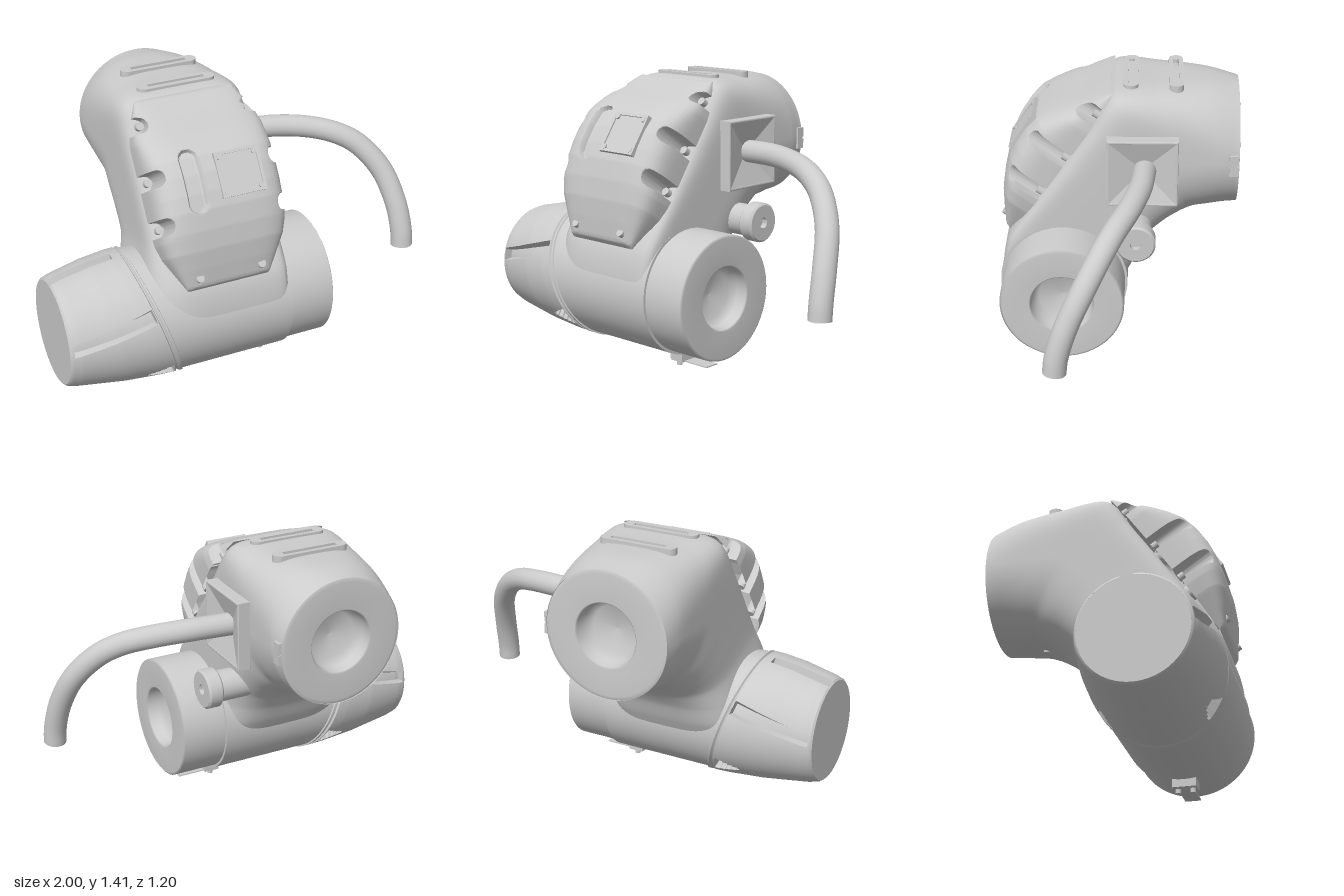
import * as THREE from 'three';
import { toCreasedNormals } from 'three/addons/utils/BufferGeometryUtils.js';
import { ParametricGeometry } from 'three/addons/geometries/ParametricGeometry.js';

const grey = new THREE.MeshStandardMaterial({ color: 0xcccccc, side: THREE.DoubleSide });
const AXIS_Y = 0.385, AXIS_Z = 0.27, MID_X = -0.2;
const { lerp, clamp, smoothstep } = THREE.MathUtils;

function add(parent, name, geometry, x = 0, y = 0, z = 0) {
  const mesh = new THREE.Mesh(geometry, grey);
  mesh.name = name;
  mesh.position.set(x, y, z);
  parent.add(mesh);
  return mesh;
}

// Piecewise linear lookup in a list of [position, value]
function lookup(table, t) {
  let i = 1;
  while (i < table.length - 1 && t > table[i][0]) i++;
  const [a, b] = [table[i - 1], table[i]];
  return lerp(a[1], b[1], clamp((t - a[0]) / (b[0] - a[0]), 0, 1));
}

// Radius of a unit superellipse in the direction (c, s)
const superRadius = (c, s, n) => Math.pow(Math.abs(c) ** n + Math.abs(s) ** n, -1 / n);

const lathe = (points, segments = 72) =>
  new THREE.LatheGeometry(points.map(p => new THREE.Vector2(...p)), segments);

// Stadium outline along y
function stadium(halfLength, r, Type = THREE.Shape) {
  const s = new Type(), k = halfLength - r;
  s.absarc(0, k, r, 0, Math.PI);
  s.absarc(0, -k, r, Math.PI, Math.PI * 2);
  s.closePath();
  return s;
}

// Elbow rows: outer z, y, squareness, then inner z, y, squareness, then left-hand flare
const ELBOW = [
  [0.57, 0.30, 4, -0.02, 0.30, 4, 0.39],
  [0.585, 0.456, 4, -0.085, 0.42, 4, 0.39],
  [0.55, 0.62, 4.5, -0.13, 0.52, 3.5, 0.37],
  [0.41, 0.823, 7, -0.19, 0.60, 3, 0.335],
  [0.27, 1.027, 8, -0.27, 0.665, 2.8, 0.33],
  [0.14, 1.215, 8, -0.34, 0.70, 2.6, 0.33],
  [0.02, 1.39, 6, -0.40, 0.715, 2.4, 0.33],
  [-0.20, 1.40, 4, -0.47, 0.72, 2.2, 0.33],
  [-0.45, 1.395, 2.6, -0.54, 0.725, 2, 0.33],
  [-0.60, 1.37, 2, -0.60, 0.73, 2, 0.32]];

function elbowGeometry() {
  const curve = k => new THREE.CatmullRomCurve3(
    ELBOW.map(r => new THREE.Vector3(r[k], r[k + 1] ?? 0, r[k + 2] ?? 0)), false, 'catmullrom', 0.4);
  const outer = curve(0), inner = curve(3), flare = curve(6);
  return new ParametricGeometry((u, v, target) => {
    const a = -u * Math.PI * 2, c = Math.cos(a), s = Math.sin(a);
    const o = outer.getPoint(v), i = inner.getPoint(v);
    // The side next to the socket stays square so that it meets the barrel end
    const front = c > 0 ? lerp(14, o.z, smoothstep(v, 0.2, 0.5)) : o.z;
    const r = superRadius(c, s, s > 0 ? front : i.z);
    const half = c < 0 ? flare.getPoint(v).x : lerp(0.33, 0.32, smoothstep(v, 0.9, 1));
    const k = (1 + s * r) / 2;
    target.set(MID_X + c * r * half, lerp(i.y, o.y, k), lerp(i.x, o.x, k));
  }, 120, 80);
}

// Slanted joint between the barrel and the tapered end cap
const seamX = y => -0.5 - 0.33 * (y - AXIS_Y);

// Grooves in the end cap: angle, start and end along, half widths at start and end
const GROOVES = [[-0.12, -1, 0.82, 0.1, 0.1]];
for (const m of [1, -1]) GROOVES.push([m * 1.4, 0.04, 0.92, 0.11, 0.1], [m * 2.43, 0.68, 0.92, 0.01, 0.14]);

function endCapGeometry() {
  const radius = [[0, 0.258], [0.02, 0.268], [0.1, 0.28], [0.5, 0.315], [0.8, 0.33], [0.93, 0.333],
    [0.94, 0.322], [0.955, 0.322], [0.965, 0.333], [0.99, 0.333], [1, 0.318]];
  const geometry = new ParametricGeometry((u, v, target) => {
    const a = (u * 2 - 1) * Math.PI;
    let r = lookup(radius, v);
    for (const [a0, s0, s1, w0, w1] of GROOVES) {
      const t = (v - s0) / (s1 - s0), d = Math.abs(a - a0);
      if (t > 0 && t < 1 && d < lerp(w0, w1, t)) r -= 0.04;
    }
    // The side grooves climb towards the seam
    const twisted = a - 0.34 * v * Math.sin(a);
    const y = AXIS_Y + r * Math.cos(twisted);
    target.set(lerp(-1, seamX(y), v), y, AXIS_Z + r * Math.sin(twisted));
  }, 240, 100);
  return toCreasedNormals(geometry, 0.5);
}

function barrelGeometry() {
  return new ParametricGeometry((u, v, target) => {
    const a = u * Math.PI * 2, y = AXIS_Y + 0.325 * Math.cos(a);
    target.set(lerp(seamX(y) - 0.01, 0.13, v), y, AXIS_Z + 0.325 * Math.sin(a));
  }, 72, 12);
}

// Bulging cover, local frame: y along the joint plane, z out of it
function coverGeometry() {
  const height = [[0, 0], [0.01, 0.04], [0.09, 0.1], [0.17, 0.155], [0.26, 0.2], [0.35, 0.232], [0.43, 0.245], [0.52, 0.247],
    [0.6, 0.235], [0.66, 0.205], [0.72, 0.165], [0.82, 0.09], [0.925, 0.02], [0.935, 0]];
  const width = [[0, 0.21], [0.17, 0.3], [0.24, 0.32], [0.3, 0.325], [0.72, 0.325], [0.8, 0.31], [0.935, 0.25]];
  const geometry = new ParametricGeometry((u, v, target) => {
    const a = u * Math.PI, c = -Math.cos(a), s = Math.sin(a), y = v * 0.935;
    const r = superRadius(c, s, 4.5);
    let x = lookup(width, y) * c * r, z = lookup(height, y) * s * r;
    // Rounded screw channels cut into both sides
    for (const [p, floor] of [[0.313, 0.262], [0.54, 0.262], [0.81, 0.24]]) {
      const q = Math.abs(y - p) / 0.038;
      if (q < 1) {
        const limit = floor + 0.03 * (1 - Math.sqrt(1 - q * q));
        x = clamp(x, -limit, limit);
      }
    }
    // Long rounded recess on the face
    const d = Math.hypot(x + 0.137, Math.max(0, Math.abs(y - 0.49) - 0.105));
    if (z > 0.1) z -= 0.03 * (1 - smoothstep(d, 0.036, 0.05));
    target.set(x, y, z);
  }, 170, 150);
  return toCreasedNormals(geometry, 0.6);
}

// Open mouth: flat lip, softly shaded into a recess, facing +y
const mouth = [[0.3, 0], [0.165, 0], [0.157, -0.008], [0.15, -0.06], [0.12, -0.1], [0, -0.115]];

export function createModel() {
  const model = new THREE.Group();
  model.name = 'jointHousing';

  // Main castings
  add(model, 'elbowBody', elbowGeometry());
  add(model, 'barrel', barrelGeometry());
  add(model, 'barrelEnd', new THREE.RingGeometry(0.29, 0.325, 72).rotateY(Math.PI / 2), 0.13, AXIS_Y, AXIS_Z);
  add(model, 'endCap', endCapGeometry());
  add(model, 'endCapDisc', new THREE.CircleGeometry(0.258, 72).rotateY(-Math.PI / 2), -1, AXIS_Y, AXIS_Z);
  add(model, 'sideSocket', lathe([[0.312, -0.235], [0.312, -0.008], ...mouth]).rotateZ(-Math.PI / 2),
    0.365, AXIS_Y, AXIS_Z);
  add(model, 'rearSocket', lathe([[0.32, -0.008], ...mouth]).rotateX(-Math.PI / 2), MID_X, 1.05, -0.602);

  // Front cover with its fittings
  const cover = new THREE.Group();
  cover.name = 'frontCover';
  cover.position.set(MID_X, 0.62, 0.55);
  cover.rotation.x = -0.603;
  model.add(cover);
  add(cover, 'coverShell', coverGeometry());
  const screw = new THREE.CylinderGeometry(0.02, 0.02, 0.03, 16).rotateX(Math.PI / 2);
  for (const m of [1, -1]) {
    for (const [x, y, z] of [[0.285, 0.313, 0.015], [0.285, 0.54, 0.015], [0.26, 0.81, 0.015], [0.16, 0.05, 0.06]])
      add(cover, 'coverScrew', screw, m * x, y, z);
  }
  const panel = new THREE.Group();
  panel.name = 'inspectionPanel';
  panel.position.set(0.09, 0.49, 0.238);
  cover.add(panel);
  add(panel, 'panelPlate', new THREE.BoxGeometry(0.2, 0.19, 0.022));
  for (const m of [1, -1]) {
    add(panel, 'panelRimSide', new THREE.BoxGeometry(0.014, 0.215, 0.036), m * 0.105);
    add(panel, 'panelRimEnd', new THREE.BoxGeometry(0.22, 0.014, 0.036), 0, m * 0.1);
    for (const n of [1, -1])
      add(panel, 'panelScrew', new THREE.CylinderGeometry(0.013, 0.013, 0.03, 16).rotateX(Math.PI / 2), m * 0.088, n * 0.083, 0.005);
  }

  // Slotted bars on the top
  for (const z of [-0.065, -0.288]) {
    const bar = stadium(0.2, 0.036);
    bar.holes.push(stadium(0.165, 0.014, THREE.Path));
    const geo = new THREE.ExtrudeGeometry(bar, { depth: 0.04, bevelEnabled: false, curveSegments: 12 });
    add(model, 'topBar', geo.rotateX(-Math.PI / 2).rotateY(Math.PI / 2), MID_X, 1.375, z);
    for (const m of [1, -1])
      add(model, 'topBarScrew', new THREE.CylinderGeometry(0.016, 0.016, 0.03, 16), MID_X + m * 0.16, 1.4, z);
  }

  // Cable mounting with a sunken pyramid
  const square = (Type, h) => new Type().setFromPoints(
    [[-h, -h], [h, -h], [h, h], [-h, h]].map(p => new THREE.Vector2(...p)));
  const frame = square(THREE.Shape, 0.17);
  frame.holes.push(square(THREE.Path, 0.165));
  add(model, 'cableFrame', new THREE.ExtrudeGeometry(frame,
    { depth: 0.06, bevelSize: 0.005, bevelThickness: 0.005, bevelSegments: 2 }).rotateY(Math.PI / 2), 0.125, 1.03, -0.125);
  add(model, 'cableFunnel', toCreasedNormals(new THREE.ConeGeometry(0.232, 0.05, 4, 1, true)
    .rotateY(Math.PI / 4).rotateZ(Math.PI / 2), 0.3), 0.164, 1.03, -0.125);

  // Bent cable
  const path = new THREE.CatmullRomCurve3([[0.12, 1.035, -0.14], [0.35, 1.035, -0.115], [0.54, 1.015, -0.06],
    [0.67, 0.98, 0], [0.77, 0.92, 0.055], [0.87, 0.79, 0.135], [0.922, 0.62, 0.215], [0.94, 0.47, 0.26], [0.943, 0.39, 0.27]]
    .map(p => new THREE.Vector3(...p)));
  add(model, 'cable', new THREE.TubeGeometry(path, 64, 0.057, 24));
  add(model, 'cableEnd', new THREE.CircleGeometry(0.056, 24).rotateX(Math.PI / 2), 0.943, 0.393, 0.27);

  // Side knob
  add(model, 'knob', toCreasedNormals(lathe([[0.08, -0.1], [0.08, 0.08], [0.09, 0.08], [0.1, 0.09], [0.1, 0.15],
    [0.09, 0.16], [0.027, 0.16], [0.027, 0.13], [0, 0.13]], 40), 0.6).rotateZ(-Math.PI / 2), 0.13, 0.69, -0.095);

  // Rear clip and underside screw
  for (const y of [1.02, 1.08])
    add(model, 'rearClip', new THREE.BoxGeometry(0.04, 0.05, 0.045), 0.115, y, -0.573);
  add(model, 'rearClipPin', new THREE.CylinderGeometry(0.018, 0.018, 0.05, 24).rotateZ(-Math.PI / 2), 0.11, 1.05, -0.57);
  add(model, 'undersideScrew', new THREE.CylinderGeometry(0.02, 0.016, 0.04, 16), MID_X, 0.72, -0.37);

  // Foot bracket
  add(model, 'footBlock', new THREE.BoxGeometry(0.08, 0.045, 0.12), 0.09, 0.045, AXIS_Z);
  add(model, 'footPlate', new THREE.BoxGeometry(0.22, 0.006, 0.08), 0.165, 0.025, AXIS_Z);
  for (const m of [1, -1])
    add(model, 'footPin', new THREE.CylinderGeometry(0.014, 0.014, 0.03, 16), 0.09, 0.015, AXIS_Z + m * 0.037);

  return model;
}
